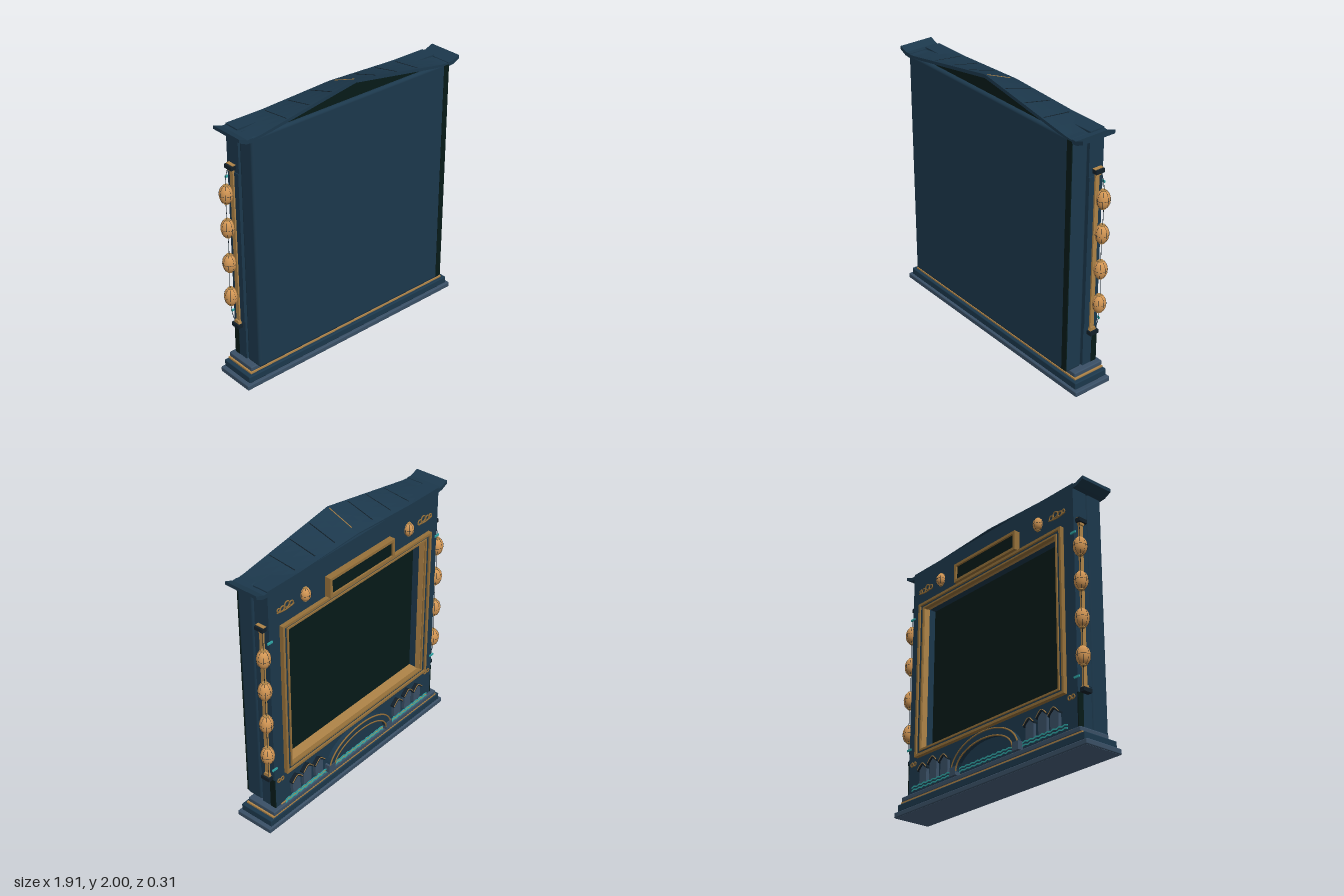
import * as THREE from 'three';
import { RoundedBoxGeometry } from 'three/addons/geometries/RoundedBoxGeometry.js';

const material = (name, color) => Object.assign(new THREE.MeshStandardMaterial({ color }), { name });

export function createModel() {
  const model = new THREE.Group();
  const navy = material('navy', 0x1c384c);
  const slate = material('slate', 0x3a5066);
  const blueGrey = material('blue grey', 0x48617b);
  const dark = material('dark green', 0x061a18);
  const gold = material('gold', 0xaf8448);
  const bronze = material('bronze', 0x97713a);
  const amber = material('lantern amber', 0xd29654);
  const teal = material('teal', 0x2fa5a5);
  const ink = material('ink', 0x12202a);

  const add = (name, geometry, mat, x = 0, y = 0, z = 0, parent = model) => {
    const mesh = new THREE.Mesh(geometry, mat);
    mesh.name = name;
    mesh.position.set(x, y, z);
    parent.add(mesh);
    return mesh;
  };
  // box given by its limits
  const box = (name, mat, x0, x1, y0, y1, z0, z1) =>
    add(name, new THREE.BoxGeometry(x1 - x0, y1 - y0, z1 - z0), mat,
      (x0 + x1) / 2, (y0 + y1) / 2, (z0 + z1) / 2);
  const polygon = (points) => new THREE.Shape(points.map(([x, y]) => new THREE.Vector2(x, y)));
  const extrude = (shape, depth, steps = 1) =>
    new THREE.ExtrudeGeometry(shape, { depth, steps, bevelEnabled: false });
  const rect = (x, y0, y1) => polygon([[-x, y0], [x, y0], [x, y1], [-x, y1]]);
  const frame = (name, mat, x, y0, y1, w, z0, z1) => {
    const shape = rect(x, y0, y1);
    shape.holes.push(rect(x - w, y0 + w, y1 - w));
    return add(name, extrude(shape, z1 - z0), mat, 0, 0, z0);
  };
  const tubeGeometry = (points, r, steps, closed = false) => new THREE.TubeGeometry(
    new THREE.CatmullRomCurve3(points.map((p) => new THREE.Vector3(...p)), closed), steps, r, 5, closed);
  const tube = (name, mat, points, r, steps = 32) => add(name, tubeGeometry(points, r, steps), mat);

  // stepped base
  const tier = (name, mat, x, y0, y1, z0, z1) =>
    add(name, new RoundedBoxGeometry(2 * x, y1 - y0, z1 - z0, 2, 0.008), mat,
      0, (y0 + y1) / 2, (z0 + z1) / 2);
  tier('baseBottomStep', slate, 0.955, 0.001, 0.04, -0.145, 0.155);
  box('baseUnderside', blueGrey, -0.948, 0.948, 0, 0.004, -0.138, 0.148);
  tier('baseMiddleStep', navy, 0.93, 0.04, 0.093, -0.135, 0.14);
  box('baseTrim', gold, -0.9, 0.9, 0.09, 0.105, -0.128, 0.118);
  tier('baseTopStep', slate, 0.89, 0.104, 0.14, -0.13, 0.112);

  // plain panel and its shaded edge
  add('rearPanel', new RoundedBoxGeometry(1.7, 1.725, 0.133, 3, 0.02), navy, 0, 1.0025, 0.0885);
  box('panelEdge', dark, 0.803, 0.848, 0.155, 1.85, 0.15, 0.157);

  // cabinet with the recessed opening
  const wall = rect(0.85, 0.14, 1.875);
  wall.holes.push(rect(0.7, 0.43, 1.54));
  add('cabinet', extrude(wall, 0.117), navy, 0, 0, -0.105);
  box('screen', dark, -0.7, 0.7, 0.43, 1.54, -0.02, 0.01);
  box('sill', gold, -0.7, 0.7, 0.43, 0.437, -0.118, -0.02);
  frame('openingLiner', gold, 0.7, 0.43, 1.54, 0.005, -0.118, -0.075);
  frame('outerFrame', bronze, 0.755, 0.395, 1.58, 0.018, -0.135, -0.1);
  frame('middleFrame', navy, 0.738, 0.412, 1.563, 0.03, -0.122, -0.1);
  frame('innerFrame', bronze, 0.71, 0.43, 1.545, 0.013, -0.13, -0.1);

  // sign above the opening
  frame('signFrame', bronze, 0.325, 1.585, 1.73, 0.02, -0.152, -0.1);
  box('signPlate', dark, -0.31, 0.31, 1.6, 1.715, -0.138, -0.1);

  // roof: gable profile, flattened towards its low edge
  const fall = (z) => 0.25 + 0.75 * (z + 0.105) / 0.26;
  const flatten = (geometry, z0) => {
    const p = geometry.attributes.position;
    for (let i = 0; i < p.count; i++) {
      const y = p.getY(i);
      if (y > 1.865) p.setY(i, 1.865 + (y - 1.865) * fall(p.getZ(i) + z0));
    }
    geometry.computeVertexNormals();
    return geometry;
  };
  const gable = (half, base, rise) => Array.from({ length: 17 }, (_, i) => {
    const x = half * (1 - i / 8);
    return [x, base + rise * (1 - Math.abs(x) / half)];
  });
  const roof = polygon([[-0.87, 1.84], ...gable(0.7, 1.86, 0.114).reverse(), [0.87, 1.84],
    [0.87, 1.858], ...gable(0.78, 1.867, 0.133), [-0.87, 1.858]]);
  add('roof', flatten(extrude(roof, 0.26, 4), -0.105), navy, 0, 0, -0.105);
  // gable end, set under the roof
  const under = polygon([[-0.71, 1.86], [0.71, 1.86], [0, 1.976]]);
  add('gableEnd', flatten(extrude(under, 0.008), 0.122), dark, 0, 0, 0.122);
  const topY = (x, z) => 1.865 + 0.135 * (1 - Math.abs(x) / 0.78) * fall(z);
  for (let i = -3; i <= 3; i++) {
    const x = i * 0.188, z0 = i ? -0.07 : -0.05;
    tube('roofSeam', i ? ink : gold, [[x, topY(x, z0), z0], [x, topY(x, 0.14), 0.14]], 0.0035, 1);
  }

  // plump lantern with ribs and caps
  const outline = (a) => [Math.sign(Math.cos(a)) * Math.abs(Math.cos(a)) ** 0.75, Math.sin(a)];
  const lanternProfile = Array.from({ length: 15 }, (_, i) =>
    new THREE.Vector2(...outline((i / 14 - 0.5) * Math.PI * 0.999)));
  const lanternBody = new THREE.LatheGeometry(lanternProfile, 20);
  const ribGeometry = tubeGeometry(Array.from({ length: 28 }, (_, i) =>
    [...outline((i + 0.5) * Math.PI / 14), 0]), 0.02, 40, true);
  const lantern = (x, y, z, rx, ry) => {
    const g = new THREE.Group();
    g.name = 'lantern';
    g.position.set(x, y, z);
    model.add(g);
    add('lanternBody', lanternBody, amber, 0, 0, 0, g).scale.set(rx, ry, rx);
    for (let k = 0; k < 4; k++) {
      const rib = add('lanternRib', ribGeometry, ink, 0, 0, 0, g);
      rib.scale.set(rx, ry, rx);
      rib.rotation.y = k * Math.PI / 4;
    }
    const hoop = add('lanternHoop', new THREE.TorusGeometry(rx, 0.001, 4, 24), ink, 0, 0, 0, g);
    hoop.rotation.x = Math.PI / 2;
    for (const s of [-1, 1])
      add('lanternCap', new THREE.CylinderGeometry(rx * 0.4, rx * 0.4, 0.006, 10), gold, 0, s * ry, 0, g);
  };

  for (const s of [-1, 1]) {
    // upturned eave
    const eave = polygon([[0.84 * s, 1.835], [0.89 * s, 1.84], [0.945 * s, 1.866],
      [0.945 * s, 1.89], [0.88 * s, 1.865], [0.84 * s, 1.866]]);
    add('eave', extrude(eave, 0.26), navy, 0, 0, -0.105);

    // side panel, rod with flared ends and lantern string
    const side = (name, mat, a, b, y0, y1, z0, z1) =>
      box(name, mat, Math.min(a * s, b * s), Math.max(a * s, b * s), y0, y1, z0, z1);
    side('sidePanel', navy, 0.845, 0.856, 0.44, 1.56, -0.03, 0.012);
    side('sideFoot', dark, 0.845, 0.853, 0.141, 0.38, -0.106, -0.062);
    side('rod', gold, 0.845, 0.864, 0.42, 1.58, -0.066, -0.034);
    for (const [y, d] of [[0.4, 1], [1.6, -1]]) {
      const flare = polygon([[-0.034, 0], [0.034, 0], [0.016, 0.05 * d], [-0.016, 0.05 * d]]);
      const end = add('rodEnd', extrude(flare, 0.03), gold, s > 0 ? 0.845 : -0.875, y - 0.015 * d, -0.052);
      end.rotation.y = Math.PI / 2;
      side('bracket', ink, 0.845, 0.888, y - 0.018, y + 0.01, -0.088, -0.018);
    }
    tube('lanternCord', ink, [[0.868 * s, 1.6, -0.07], [0.885 * s, 1.5, -0.085],
      [0.885 * s, 1, -0.085], [0.885 * s, 0.5, -0.085], [0.868 * s, 0.4, -0.07]], 0.002);
    for (const y of [1.39, 1.14, 0.875, 0.615]) lantern(0.885 * s, y, -0.085, 0.047, 0.064);
    for (const y of [0.48, 1.5]) side('tassel', teal, 0.825, 0.87, y - 0.007, y + 0.007, -0.113, -0.104);

    // small lantern and scrolls on the header
    lantern(0.52 * s, 1.7, -0.112, 0.037, 0.046);
    for (const [dx, dy, r] of [[-0.055, 0, 0.018], [-0.015, 0.012, 0.022], [0.028, 0, 0.018], [0.062, 0.004, 0.013]])
      add('headerScroll', new THREE.TorusGeometry(r, 0.005, 5, 14), bronze, s * (0.7 + dx), 1.695 + dy, -0.109);
    tube('scrollBar', bronze, [[0.62 * s, 1.684, -0.109], [0.7 * s, 1.674, -0.109], [0.78 * s, 1.684, -0.109]], 0.005, 8);
    for (const dx of [-0.016, 0.016])
      add('cornerScroll', new THREE.TorusGeometry(0.014, 0.005, 5, 12), bronze, s * (0.795 + dx), 0.36, -0.108);

    // three little houses
    for (const [x, h] of [[0.66, 0.1], [0.55, 0.12], [0.43, 0.1]]) {
      const y = 0.185, w = 0.038;
      add('house', extrude(polygon([[-w, 0], [w, 0], [w, h], [0, h + 0.035], [-w, h]]), 0.025),
        slate, s * x, y, -0.128);
      add('houseRoof', extrude(polygon([[-w - 0.012, h - 0.008], [0, h + 0.032], [w + 0.012, h - 0.008],
        [w + 0.012, h + 0.005], [0, h + 0.045], [-w - 0.012, h + 0.005]]), 0.035), ink, s * x, y, -0.138);
      tube('houseRidge', gold, [[s * x - w - 0.012, y + h + 0.003, -0.138], [s * x, y + h + 0.043, -0.138],
        [s * x + w + 0.012, y + h + 0.003, -0.138]], 0.003, 12);
    }
  }

  // arched bridge
  const arc = (rx, ry) => Array.from({ length: 25 }, (_, i) => {
    const a = Math.PI * i / 24;
    return [rx * Math.cos(a), 0.165 + ry * Math.sin(a)];
  });
  add('bridge', extrude(polygon([...arc(0.335, 0.2), ...arc(0.285, 0.15).reverse()]), 0.04), navy, 0, 0, -0.142);
  for (const [rx, ry] of [[0.335, 0.2], [0.285, 0.15]])
    tube('bridgeTrim', bronze, arc(rx, ry).map(([x, y]) => [x, y, -0.142]), 0.006, 48);
  for (const s of [-1, 1]) box('bridgePost', slate, s * 0.315 - 0.03, s * 0.315 + 0.03, 0.14, 0.2, -0.148, -0.1);

  // water: flat zigzag ribbons
  for (let row = 0; row < 2; row++) {
    for (const [a, b] of [[-0.78, -0.36], [-0.26, 0.26], [0.36, 0.78]]) {
      const low = [], high = [];
      for (let x = a, i = 0; x < b; x += 0.026, i++) {
        const y = 0.15 + row * 0.022 + (i % 2) * 0.008;
        low.push([x, y]);
        high.unshift([x, y + 0.01]);
      }
      add('ripple', extrude(polygon([...low, ...high]), 0.004), teal, 0, 0, -0.132);
    }
  }
  box('ledgeLine', gold, -0.8, 0.8, 0.141, 0.146, -0.114, -0.1);
  return model;
}
